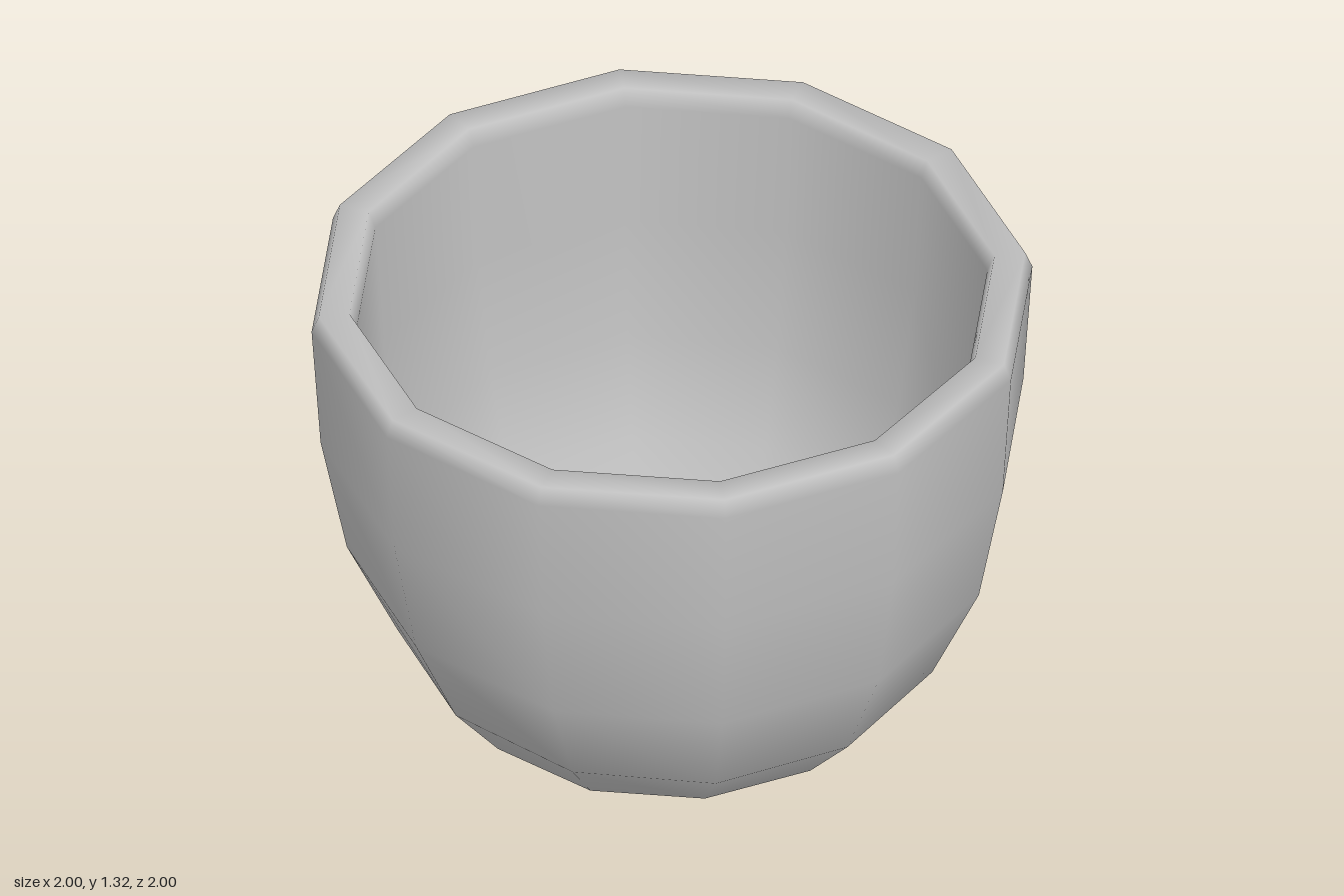
import * as THREE from 'three';

const SIDES = 12;

// Profile rows: [radius along z, height, squeeze along x]
const OUTER_AND_INNER = [
  // outside wall, bottom to top
  [0.61, 0, 1], [0.818, 0.21, 0.933], [0.94, 0.51, 0.96], [0.988, 0.88, 0.987], [1, 1.265, 1],
  // rounded lip
  [0.98, 1.315, 1], [0.895, 1.315, 1], [0.875, 1.265, 1],
  // inside wall, top to bottom
  [0.865, 0.88, 0.987], [0.825, 0.51, 0.965], [0.745, 0.22, 0.96], [0.58, 0, 1],
];
const BASE = [[0.58, 0, 1], [0.61, 0, 1]];

// Twelve-sided lathe whose rings are slightly narrowed along x
function squeezedLathe(rows) {
  const geometry = new THREE.LatheGeometry(rows.map(([r, y]) => new THREE.Vector2(r, y)), SIDES);
  const position = geometry.attributes.position;
  for (let i = 0; i < position.count; i++) {
    position.setX(i, position.getX(i) * rows[i % rows.length][2]);
  }
  return geometry;
}

export function createModel() {
  const model = new THREE.Group();
  model.name = 'bowl';
  const grey = new THREE.MeshStandardMaterial({ color: 0xbfbfbf, side: THREE.DoubleSide });
  grey.name = 'light grey';

  // Smooth wall with its lip, open at the bottom
  const wall = new THREE.Mesh(squeezedLathe(OUTER_AND_INNER), grey);
  wall.name = 'bowlWall';

  // Thin flat ring that joins both walls underneath
  const base = new THREE.Mesh(squeezedLathe(BASE.slice().reverse()), grey);
  base.name = 'baseRing';
  base.geometry.computeVertexNormals();
  const index = base.geometry.index;
  // Turn the ring to face down
  for (let i = 0; i < index.count; i += 3) {
    const b = index.getX(i + 1);
    const c = index.getX(i + 2);
    const p = base.geometry.attributes.position;
    const [A, B, C] = [index.getX(i), b, c].map((k) => new THREE.Vector3().fromBufferAttribute(p, k));
    if (B.sub(A).cross(C.sub(A)).y > 0) {
      index.setX(i + 1, c);
      index.setX(i + 2, b);
    }
  }
  base.geometry.computeVertexNormals();

  model.add(wall, base);
  return model;
}
